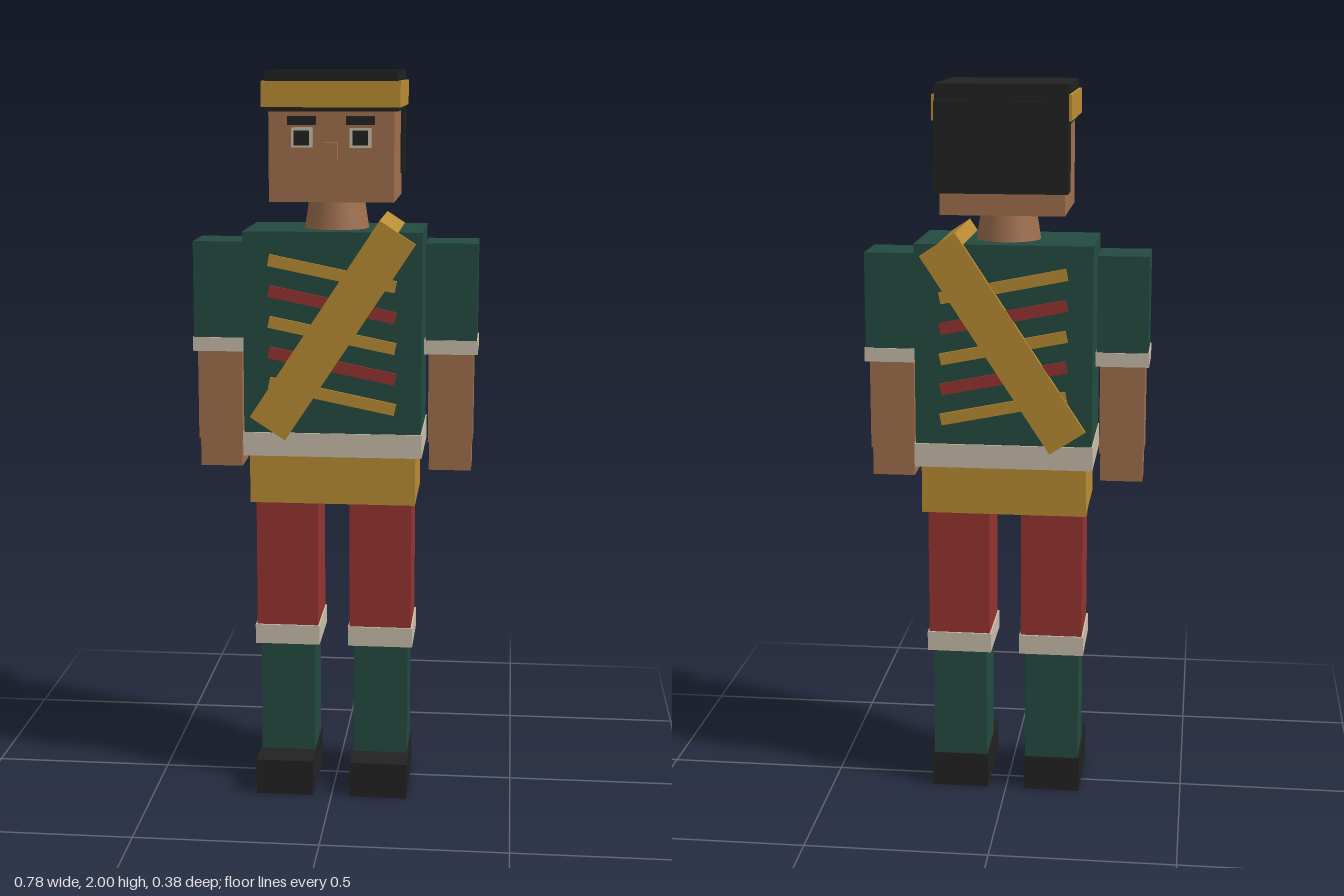
import * as THREE from 'three';

const mat = (name, color) => {
  const m = new THREE.MeshStandardMaterial({ color });
  m.name = name;
  return m;
};

export function createModel() {
  const green = mat('green cloth', 0x234b41);
  const gold = mat('gold cloth', 0xba8d33);
  const red = mat('red cloth', 0x963430);
  const cream = mat('cream trim', 0xc9beaa);
  const skin = mat('skin', 0xa0704e);
  const black = mat('black', 0x222222);

  const root = new THREE.Group();
  root.name = 'toySoldier';

  // Box given by its extents along each axis
  const box = (parent, name, m, [x0, x1], [y0, y1], [z0, z1]) => {
    const mesh = new THREE.Mesh(new THREE.BoxGeometry(x1 - x0, y1 - y0, z1 - z0), m);
    mesh.position.set((x0 + x1) / 2, (y0 + y1) / 2, (z0 + z1) / 2);
    mesh.name = name;
    parent.add(mesh);
    return mesh;
  };
  const group = (name) => {
    const g = new THREE.Group();
    g.name = name;
    root.add(g);
    return g;
  };
  const wide = (h) => [-h, h];

  // Head, hair and headband
  const head = group('head');
  box(head, 'face', skin, wide(0.165), [1.66, 1.95], [-0.16, 0.165]);
  box(head, 'hairCap', black, wide(0.174), [1.895, 2.0], [-0.183, 0.168]);
  box(head, 'backHair', black, wide(0.175), [1.72, 1.957], [-0.193, -0.107]);
  box(head, 'headband', gold, wide(0.182), [1.906, 1.973], [-0.18, 0.185]);
  box(head, 'nose', skin, wide(0.018), [1.77, 1.816], [0.16, 0.192]);
  for (const s of [-1, 1]) {
    const ex = s * 0.077;
    box(head, 'eyeWhite', cream, [ex - 0.028, ex + 0.028], [1.802, 1.853], [0.164, 0.171]);
    box(head, 'pupil', black, [ex - 0.02, ex + 0.02], [1.808, 1.846], [0.17, 0.178]);
    box(head, 'eyebrow', black, [ex - 0.037, ex + 0.037], [1.861, 1.883], [0.162, 0.182]);
  }
  const neck = new THREE.Mesh(new THREE.CylinderGeometry(0.075, 0.09, 0.1, 24), skin);
  neck.position.set(0, 1.615, 0.003);
  neck.name = 'neck';
  head.add(neck);

  // Jacket, hem and hips
  const torso = group('torso');
  box(torso, 'jacket', green, wide(0.24), [1.03, 1.58], [-0.139, 0.145]);
  box(torso, 'jacketHem', cream, wide(0.243), [0.97, 1.035], [-0.144, 0.149]);
  box(torso, 'hips', gold, wide(0.226), [0.837, 0.972], [-0.131, 0.14]);

  // Slanted braids and sash running right round the jacket
  for (let i = 0; i < 5; i++) {
    const y = 1.47 - i * 0.083;
    const braid = box(torso, 'braid', i % 2 ? red : gold, wide(0.174), [y - 0.016, y + 0.016], [-0.146, 0.152]);
    braid.rotation.z = -0.2;
  }
  const sash = box(torso, 'sash', gold, wide(0.0575), [0.995, 1.633], [-0.153, 0.158]);
  sash.rotation.z = -0.581;

  // Arms and legs
  for (const s of [-1, 1]) {
    const side = (a, b) => (s > 0 ? [a, b] : [-b, -a]);
    const label = s > 0 ? 'left' : 'right';

    const arm = group(label + 'Arm');
    box(arm, 'sleeve', green, side(0.247, 0.386), [1.27, 1.546], [-0.075, 0.08]);
    box(arm, 'sleeveCuff', cream, side(0.244, 0.389), [1.246, 1.284], [-0.078, 0.083]);
    box(arm, 'forearm', skin, side(0.256, 0.378), [1.0, 1.26], [-0.062, 0.068]);
    box(arm, 'hand', skin, side(0.259, 0.375), [0.92, 1.002], [-0.053, 0.058]);

    const leg = group(label + 'Leg');
    box(leg, 'breeches', red, side(0.044, 0.215), [0.46, 0.84], [-0.094, 0.1]);
    box(leg, 'bootCuff', cream, side(0.04, 0.22), [0.42, 0.475], [-0.099, 0.105]);
    box(leg, 'boot', green, side(0.055, 0.206), [0.09, 0.43], [-0.077, 0.085]);
    box(leg, 'shoe', black, side(0.052, 0.211), [0, 0.1], [-0.081, 0.176]);
  }
  return root;
}
